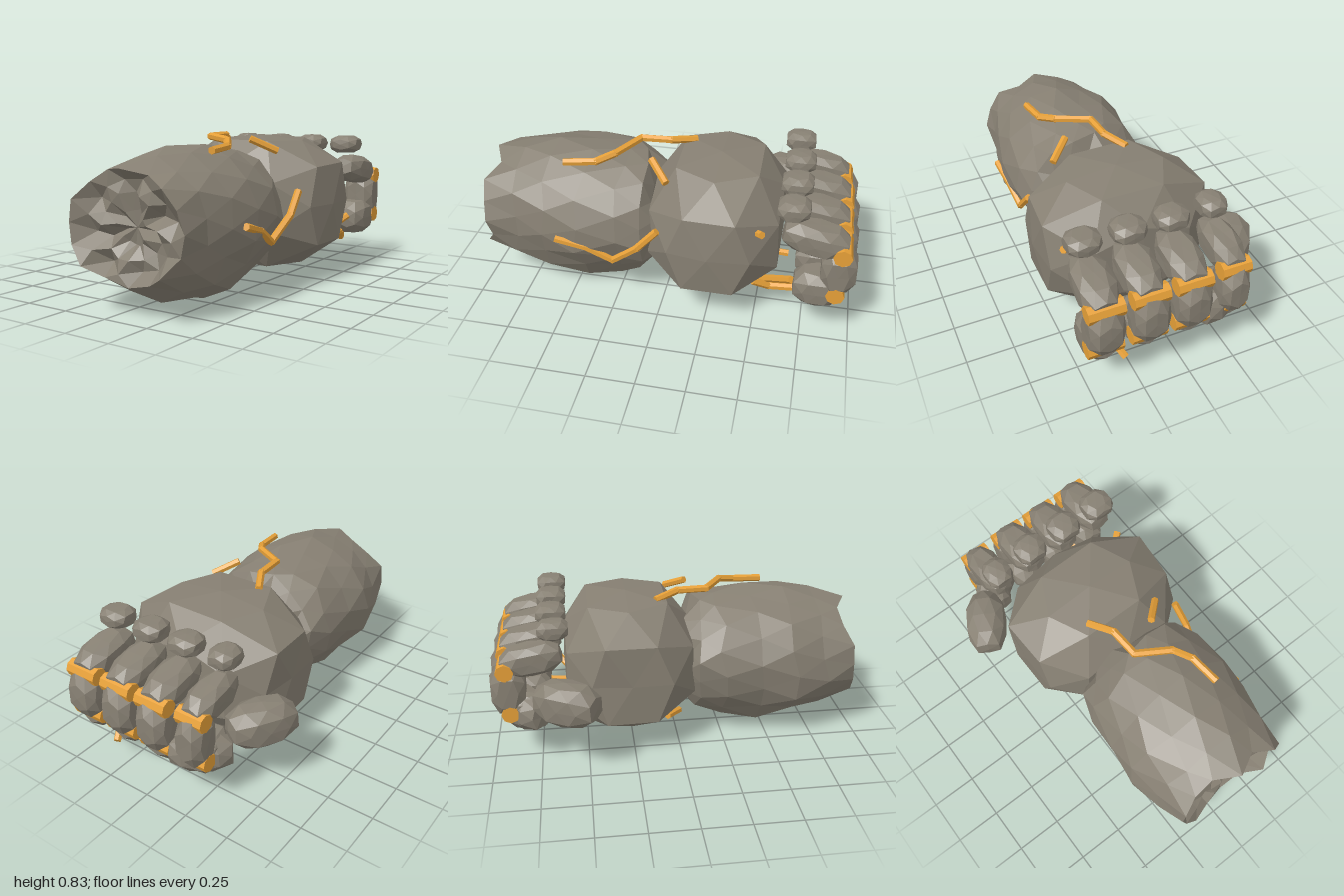
import * as THREE from 'three';

const stone = new THREE.MeshStandardMaterial({ color: 0x878073 });
stone.name = 'stone';
const amber = new THREE.MeshStandardMaterial({ color: 0xe6a038 });
amber.name = 'amber';

// Repeatable bumps that depend only on position and seed
const bump = (x, y, z, s) => Math.sin(7.1 * x + 3.7 * y + s * 1.7) * Math.sin(8.3 * y - 4.1 * z + s * 2.3 + 1)
  + 0.5 * Math.sin(9.7 * z + 5.3 * x + s);
const hash = (i, j, k) => {
  const v = Math.sin(i * 127.1 + j * 311.7 + k * 74.7) * 43758.5453;
  return v - Math.floor(v);
};

// Size one part's geometry to its box, then facet it
function fit(geo, min, max) {
  geo.computeBoundingBox();
  const b = geo.boundingBox, p = geo.attributes.position;
  const map = (v, k) => min[k] + (v - b.min.getComponent(k)) / (b.max.getComponent(k) - b.min.getComponent(k)) * (max[k] - min[k]);
  for (let i = 0; i < p.count; i++) p.setXYZ(i, map(p.getX(i), 0), map(p.getY(i), 1), map(p.getZ(i), 2));
  const flat = geo.index ? geo.toNonIndexed() : geo;
  flat.computeVertexNormals();
  return flat;
}

// Rounded, boxy boulder with a rough surface
function boulder(min, max, power, rough, seed) {
  const geo = new THREE.IcosahedronGeometry(1, 1);
  const p = geo.attributes.position, v = new THREE.Vector3();
  for (let i = 0; i < p.count; i++) {
    v.fromBufferAttribute(p, i);
    const len = (Math.abs(v.x) ** power + Math.abs(v.y) ** power + Math.abs(v.z) ** power) ** (1 / power);
    v.multiplyScalar((1 + rough * bump(v.x, v.y, v.z, seed)) / len);
    p.setXYZ(i, v.x, v.y, v.z);
  }
  return fit(geo, min, max);
}

function add(parent, name, geo, mat, pos = [0, 0, 0]) {
  const m = new THREE.Mesh(geo, mat);
  m.name = name;
  m.position.set(...pos);
  parent.add(m);
  return m;
}

const pebble = (parent, name, pos, half, seed, power = 4.5) =>
  add(parent, name, boulder(half.map(h => -h), half, power, 0.03, seed), stone, pos);

function facetedRod(radius, length, sides) {
  const geo = new THREE.CylinderGeometry(radius, radius, length, sides).toNonIndexed();
  geo.computeVertexNormals();
  return geo;
}

// Forearm lofted from the hollow broken end back to the wrist
function forearmGeometry() {
  // z, left x, right x, bottom y, top y
  const rows = [
    [0.85, 0.08, 0.08, 0.42, 0.42],
    [0.86, 0.0, 0.16, 0.34, 0.5],
    [0.88, -0.09, 0.25, 0.27, 0.58],
    [0.91, -0.17, 0.33, 0.21, 0.64],
    [0.96, -0.25, 0.42, 0.16, 0.7],
    [0.8, -0.29, 0.45, 0.1, 0.74],
    [0.61, -0.33, 0.47, 0.06, 0.77],
    [0.42, -0.32, 0.48, 0.04, 0.78],
    [0.22, -0.3, 0.46, 0.08, 0.77],
    [0.1, -0.25, 0.44, 0.13, 0.73],
    [0.03, -0.18, 0.37, 0.2, 0.64],
    [0.03, 0.08, 0.08, 0.42, 0.42],
  ];
  const n = 16;
  const geo = new THREE.PlaneGeometry(1, 1, n, rows.length - 1);
  const p = geo.attributes.position;
  rows.forEach(([z, x0, x1, y0, y1], j) => {
    const pole = j === 0 || j === rows.length - 1;
    for (let i = 0; i <= n; i++) {
      const k = i % n, a = (k + j * 0.5) / n * Math.PI * 2;
      // A keel runs along the underside
      const keel = j > 4 ? 0.11 * Math.max(0, Math.cos(a - 5)) ** 12 : 0;
      const r = 1.04 - 0.1 * hash(k, j, 1) + keel;
      const dz = pole ? 0 : (hash(k, j, 2) - 0.5) * (j < 5 ? 0.1 : 0.05);
      p.setXYZ(j * (n + 1) + i, (x0 + x1) / 2 + Math.cos(a) * r * (x1 - x0) / 2,
        (y0 + y1) / 2 + Math.sin(a) * r * (y1 - y0) / 2, z + dz);
    }
  });
  return fit(geo, [-0.33, 0, 0.03], [0.48, 0.78, 1]);
}

// Kinked vein made of short rods
function vein(parent, name, points) {
  const g = new THREE.Group();
  g.name = name;
  parent.add(g);
  for (let i = 1; i < points.length; i++) {
    const a = new THREE.Vector3(...points[i - 1]), b = new THREE.Vector3(...points[i]);
    const d = b.clone().sub(a), len = d.length();
    const m = add(g, 'veinRod', facetedRod(0.02, len + 0.014, 6), amber, a.add(b).multiplyScalar(0.5).toArray());
    m.quaternion.setFromUnitVectors(new THREE.Vector3(0, 1, 0), d.normalize());
  }
}

export function createModel() {
  const model = new THREE.Group();
  model.name = 'stoneFist';

  add(model, 'forearm', forearmGeometry(), stone);
  add(model, 'palm', boulder([-0.37, 0.07, -0.61], [0.54, 0.8, 0.09], 4.2, 0.03, 2), stone);

  // Four curled fingers with glowing joints
  [[-0.252, 0.158], [-0.027, 0.186], [0.196, 0.186], [0.422, 0.186]].forEach(([x, w], i) => {
    const finger = new THREE.Group();
    finger.name = 'finger' + (i + 1);
    finger.position.set(x, 0, i === 0 ? 0.012 : 0);
    model.add(finger);
    const h = w / 2;
    pebble(finger, 'knuckle', [0, 0.733, -0.665], [h * 0.9, 0.05, 0.08], i + 1);
    pebble(finger, 'upperSegment', [0, 0.575, -0.78], [h, 0.08, 0.16], i + 5).rotation.x = -0.17;
    pebble(finger, 'middleSegment', [0, 0.412, -0.91], [h, 0.13, 0.09], i + 9);
    pebble(finger, 'tipSegment', [0, 0.283, -0.812], [h * 0.97, 0.1, 0.122], i + 13);
    for (const [y, z] of [[0.532, -0.918], [0.293, -0.905]])
      add(finger, 'joint', facetedRod(0.047, w * 0.98, 8), amber, [0, y, z]).rotation.z = Math.PI / 2;
  });

  // Thumb folded below the first finger
  const thumb = new THREE.Group();
  thumb.name = 'thumb';
  model.add(thumb);
  pebble(thumb, 'thumbBase', [-0.415, 0.395, -0.6], [0.112, 0.115, 0.175], 21, 3.2).rotation.y = -0.52;
  pebble(thumb, 'thumbTip', [-0.215, 0.28, -0.825], [0.16, 0.1, 0.095], 22, 3.2).rotation.y = 0.6;

  // Veins over the arm and hand
  vein(model, 'topVein', [[-0.05, 0.785, -0.1], [0.02, 0.805, 0.02], [0.03, 0.805, 0.18], [0.2, 0.795, 0.28], [0.26, 0.77, 0.37], [0.28, 0.76, 0.53]]);
  vein(model, 'sideVein', [[0.48, 0.41, 0.54], [0.465, 0.37, 0.39], [0.445, 0.29, 0.25], [0.475, 0.41, 0.11], [0.465, 0.52, 0.01]]);
  vein(model, 'wristVein', [[0.22, 0.79, 0.08], [0.32, 0.73, -0.01]]);
  vein(model, 'palmVein', [[0.11, 0.08, -0.33], [0.21, 0.12, -0.45], [0.31, 0.19, -0.55], [0.43, 0.3, -0.68]]);
  vein(model, 'fingerVein', [[0.36, 0.2, -0.49], [0.32, 0.15, -0.57], [0.32, 0.16, -0.7], [0.34, 0.19, -0.8], [0.3, 0.13, -0.88]]);
  vein(model, 'lowerVein', [[-0.06, 0.1, -0.47], [-0.06, 0.09, -0.64]]);
  vein(model, 'heelVein', [[-0.05, 0.1, 0.02], [-0.14, 0.12, -0.05]]);
  vein(model, 'edgeVein', [[0.44, 0.57, -0.5], [0.462, 0.58, -0.518]]);
  return model;
}
